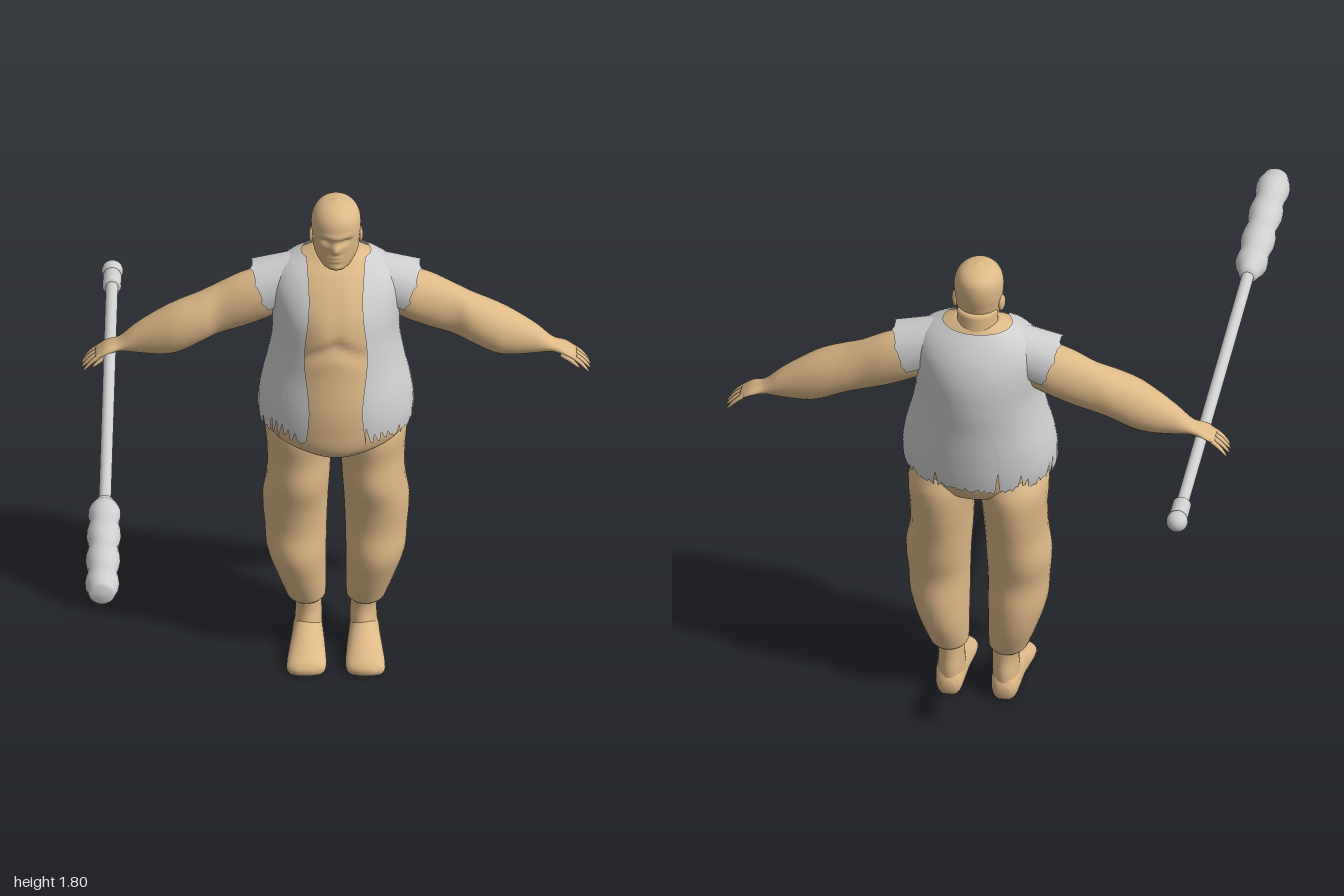
import * as THREE from 'three';

const skin = new THREE.MeshStandardMaterial({ color: 0xdeb887 });
skin.name = 'skin';
const grey = new THREE.MeshStandardMaterial({ color: 0xcfcfcf, side: THREE.DoubleSide });
grey.name = 'paleGrey';

// Smooth interpolation of profile rows [t, a0, a1, b0, b1] at t
function rowAt(rows, t) {
  let i = 0;
  while (i < rows.length - 2 && t > rows[i + 1][0]) i++;
  const slope = (k, c) => {
    const p = rows[Math.max(k - 1, 0)], q = rows[Math.min(k + 1, rows.length - 1)];
    return (q[c] - p[c]) / (q[0] - p[0]);
  };
  const r0 = rows[i], r1 = rows[i + 1], h = r1[0] - r0[0], u = (t - r0[0]) / h;
  const u2 = u * u, u3 = u2 * u;
  return r0.map((v, c) => c === 0 ? t :
    (2 * u3 - 3 * u2 + 1) * v + (3 * u2 - 2 * u3) * r1[c] +
    h * ((u3 - 2 * u2 + u) * slope(i, c) + (u3 - u2) * slope(i + 1, c)));
}

// Surface from a grid of points; closed grids wrap round and get end caps
function gridGeometry(rings, closed) {
  const n = rings[0].length, pos = rings.flat().flatMap(p => p.toArray()), idx = [];
  for (let i = 0; i < rings.length - 1; i++) {
    for (let j = 0; j < (closed ? n : n - 1); j++) {
      const a = i * n + j, b = i * n + (j + 1) % n;
      idx.push(a, b, a + n, b, b + n, a + n);
    }
  }
  if (closed) {
    [0, rings.length - 1].forEach(k => {
      const c = rings[k].reduce((s, p) => s.add(p), new THREE.Vector3()).divideScalar(n);
      const m = pos.length / 3;
      pos.push(c.x, c.y, c.z);
      for (let j = 0; j < n; j++) {
        const a = k * n + j, b = k * n + (j + 1) % n;
        if (k === 0) idx.push(m, b, a); else idx.push(m, a, b);
      }
    });
    // Turn the faces outward
    let volume = 0;
    const V = i => new THREE.Vector3().fromArray(pos, i * 3);
    for (let i = 0; i < idx.length; i += 3) volume += V(idx[i]).dot(V(idx[i + 1]).cross(V(idx[i + 2])));
    if (volume < 0) idx.reverse();
  }
  const g = new THREE.BufferGeometry();
  g.setAttribute('position', new THREE.Float32BufferAttribute(pos, 3));
  g.setIndex(idx);
  g.computeVertexNormals();
  return g;
}

// Oval cross-sections along one axis, with an optional sculpting rule
const alongY = (t, a, b) => new THREE.Vector3(a, t, b);
const alongX = (t, a, b) => new THREE.Vector3(t, a, b);
const alongZ = (t, a, b) => new THREE.Vector3(a, b, t);
function loft(name, rows, map, sculpt, n = 32, steps = 4) {
  const rings = [];
  const total = (rows.length - 1) * steps;
  for (let k = 0; k <= total; k++) {
    const i = Math.min(Math.floor(k / steps), rows.length - 2), f = k / steps - i;
    const [t, a0, a1, b0, b1] = rowAt(rows, rows[i][0] + (rows[i + 1][0] - rows[i][0]) * f);
    rings.push(Array.from({ length: n }, (_, j) => {
      const w = j / n * Math.PI * 2;
      const p = map(t, (a0 + a1) / 2 + (a1 - a0) / 2 * Math.cos(w), (b0 + b1) / 2 + (b1 - b0) / 2 * Math.sin(w));
      if (sculpt) sculpt(p);
      return p;
    }));
  }
  return mesh(name, gridGeometry(rings, true), skin);
}

function mesh(name, geometry, material) {
  const m = new THREE.Mesh(geometry, material);
  m.name = name;
  return m;
}

const bump = (d, w) => Math.exp(-(d * d) / (w * w));

// Torso rows: height, half widths, back, front
const torsoRows = [
  [0.87, 0.08, -0.5, -0.28], [0.885, 0.15, -0.58, -0.25], [0.92, 0.225, -0.615, -0.228],
  [0.98, 0.252, -0.63, -0.222], [1.08, 0.245, -0.64, -0.225], [1.2, 0.217, -0.645, -0.245],
  [1.3, 0.203, -0.652, -0.258], [1.4, 0.208, -0.648, -0.28], [1.48, 0.21, -0.625, -0.325],
  [1.54, 0.175, -0.59, -0.375], [1.57, 0.12, -0.565, -0.41], [1.59, 0.075, -0.55, -0.425],
].map(([y, w, back, front]) => [y, -w, w, back, front]);

function sculptTorso(p) {
  if (p.z < -0.4) return;
  // Fold under the chest, and a shallow line between its halves
  p.z -= 0.016 * bump(p.y - (1.32 - 0.5 * Math.abs(p.x)), 0.025) * bump(p.x, 0.14);
  p.z -= 0.006 * bump(p.x, 0.02) * bump(p.y - 1.4, 0.08);
}

function makeVest() {
  const vest = new THREE.Group();
  vest.name = 'vest';
  let seed = 7;
  const rand = () => (seed = (seed * 16807) % 2147483647) / 2147483647;
  // Ragged hem: every third column may be a slit
  const cols = 156, hem = [];
  for (let j = 0; j <= cols; j++) {
    const s = j / cols, side = bump(Math.min(Math.abs(s - 0.2), Math.abs(s - 0.8)), 0.012);
    const slit = j % 3 === 1 ? 0.09 * Math.pow(rand(), 2.5) : 0.02 * rand();
    hem.push(0.95 + slit + 0.1 * side);
  }
  const rings = [];
  for (let i = 0; i <= 30; i++) {
    rings.push(hem.map((low, j) => {
      const y = low + (1.577 - low) * i / 30;
      const [, , w, back, front] = rowAt(torsoRows, y);
      const rx = w + 0.013, rz = (front - back) / 2 + 0.013;
      const open = Math.asin(Math.min(0.9, (0.098 + 0.008 * Math.sin(y * 16)) / rx));
      const a = open + (Math.PI * 2 - 2 * open) * j / cols;
      return new THREE.Vector3(rx * Math.sin(a), y, (front + back) / 2 + rz * Math.cos(a));
    }));
  }
  vest.add(mesh('vestBody', gridGeometry(rings, false), grey));
  // Flared cap over each shoulder, open underneath
  for (const s of [1, -1]) {
    const cap = [];
    for (let i = 0; i <= 6; i++) {
      const u = i / 6;
      cap.push(Array.from({ length: 25 }, (_, j) => {
        const a = (j / 24 * 2 - 1) * 1.95;
        const x = 0.095 + u * (0.19 - 0.038 * (1 - Math.cos(a)) + (j % 4 === 2 ? 0.008 : 0));
        return new THREE.Vector3(s * x, 1.475 - 0.05 * u + (0.1 + 0.002 * u) * Math.cos(a), -0.485 + (0.085 + 0.008 * u) * Math.sin(a));
      }));
    }
    if (s > 0) cap.forEach(r => r.reverse());
    vest.add(mesh('shoulderCap', gridGeometry(cap, false), grey));
  }
  return vest;
}

function makeHead() {
  const head = new THREE.Group();
  head.name = 'head';
  head.add(loft('neck', [[1.5, -0.085, 0.085, -0.57, -0.42], [1.57, -0.072, 0.072, -0.56, -0.42], [1.64, -0.068, 0.068, -0.55, -0.43]], alongY));
  const rows = [
    [1.562, 0.022, -0.44, -0.39], [1.568, 0.042, -0.48, -0.376], [1.585, 0.06, -0.52, -0.368],
    [1.62, 0.076, -0.535, -0.368], [1.66, 0.08, -0.546, -0.366], [1.7, 0.084, -0.555, -0.363],
    [1.74, 0.082, -0.556, -0.366], [1.77, 0.068, -0.545, -0.382], [1.79, 0.042, -0.515, -0.412],
    [1.8, 0.004, -0.465, -0.455],
  ].map(([y, w, back, front]) => [y, -w, w, back, front]);
  head.add(loft('skull', rows, alongY, p => {
    if (p.z < -0.43) return;
    const ax = Math.abs(p.x);
    p.z += 0.02 * bump(p.x, 0.014) * bump(p.y - 1.657, 0.018); // nose
    p.z += 0.006 * bump(p.y - 1.706, 0.01) * bump(p.x, 0.06); // brow
    p.z -= 0.014 * bump(ax - 0.034, 0.018) * bump(p.y - 1.683, 0.012); // eye sockets
    p.z += 0.006 * bump(p.x, 0.025) * (bump(p.y - 1.622, 0.006) + bump(p.y - 1.608, 0.006)); // lips
    p.z += 0.005 * bump(p.x, 0.03) * bump(p.y - 1.58, 0.012); // chin
  }, 56, 7));
  for (const s of [1, -1]) {
    const ear = mesh('ear', new THREE.SphereGeometry(1, 14, 10), skin);
    ear.scale.set(0.01, 0.032, 0.02);
    ear.position.set(s * 0.081, 1.652, -0.475);
    ear.rotation.y = s * 0.3;
    head.add(ear);
  }
  return head;
}

// Arm, hand, leg and foot of the left side; the right side is mirrored
function makeLimbs(side) {
  const limbs = new THREE.Group();
  limbs.name = side + 'Limbs';
  const arm = [
    [0.14, 1.44, 0.08, -0.49, 0.07], [0.24, 1.405, 0.095, -0.487, 0.08], [0.32, 1.375, 0.101, -0.487, 0.075],
    [0.4, 1.34, 0.095, -0.485, 0.066], [0.46, 1.312, 0.092, -0.475, 0.076], [0.54, 1.275, 0.094, -0.47, 0.077],
    [0.6, 1.252, 0.082, -0.472, 0.066], [0.68, 1.224, 0.052, -0.475, 0.045], [0.735, 1.2, 0.023, -0.475, 0.034],
    [0.78, 1.185, 0.017, -0.473, 0.043], [0.815, 1.163, 0.011, -0.472, 0.04],
  ].map(([x, y, ry, z, rz]) => [x, y - ry, y + ry, z - rz, z + rz]);
  limbs.add(loft('arm', arm, alongX));
  // Fingers, then thumb
  for (let i = 0; i < 5; i++) {
    const z = -0.504 + i * 0.021, thumb = i === 4;
    const [x0, x1, z0, z1] = thumb ? [0.762, 0.828, -0.44, -0.418] : [0.8, 0.868 - 0.006 * Math.abs(i - 1.5), z, z - 0.004 + i * 0.003];
    const rows = [[0, 1], [0.5, 0.95], [0.85, 0.7], [1, 0.15]].map(([u, k]) => {
      const y = (thumb ? 1.18 : 1.172) - (thumb ? 0.04 : 0.06) * u * (0.6 + 0.4 * u), zc = z0 + (z1 - z0) * u;
      return [x0 + (x1 - x0) * u, y - 0.0095 * k, y + 0.0095 * k, zc - 0.0095 * k, zc + 0.0095 * k];
    });
    limbs.add(loft(thumb ? 'thumb' : 'finger', rows, alongX, null, 10, 3));
  }
  limbs.add(loft('leg', [
    [0.19, 0.042, 0.16, -0.525, -0.392], [0.2, 0.035, 0.168, -0.532, -0.385], [0.3, 0.033, 0.205, -0.568, -0.348],
    [0.4, 0.032, 0.235, -0.576, -0.322], [0.5, 0.03, 0.243, -0.567, -0.335], [0.6, 0.026, 0.25, -0.588, -0.325],
    [0.7, 0.02, 0.236, -0.602, -0.302], [0.8, 0.014, 0.235, -0.62, -0.308], [0.9, 0.002, 0.24, -0.625, -0.3],
    [0.97, 0.0, 0.22, -0.6, -0.32],
  ], alongY));
  limbs.add(loft('ankle', [
    [0.04, 0.045, 0.145, -0.53, -0.36], [0.1, 0.047, 0.14, -0.53, -0.385], [0.15, 0.048, 0.138, -0.522, -0.402],
    [0.22, 0.048, 0.15, -0.52, -0.4],
  ], alongY));
  // Foot with a flat sole
  limbs.add(loft('foot', [
    [-0.537, 0.075, 0.115, 0.02, 0.06], [-0.52, 0.055, 0.135, -0.01, 0.09], [-0.48, 0.046, 0.145, -0.02, 0.115],
    [-0.4, 0.04, 0.152, -0.02, 0.118], [-0.34, 0.035, 0.16, -0.02, 0.09], [-0.28, 0.032, 0.167, -0.02, 0.065],
    [-0.245, 0.042, 0.162, -0.015, 0.05], [-0.228, 0.08, 0.13, 0.01, 0.03],
  ], alongZ, p => { p.y = Math.max(p.y, 0); }));
  if (side === 'right') limbs.scale.x = -1;
  return limbs;
}

// Long pole with a lumpy head in front and a ball at the rear
function makeClub() {
  const club = new THREE.Group();
  club.name = 'club';
  const lathe = (name, pts) => club.add(mesh(name, new THREE.LatheGeometry(pts.map(p => new THREE.Vector2(...p)), 24).rotateX(Math.PI / 2), grey));
  lathe('pole', [[0.021, -0.9], [0.021, 0.46]]);
  const head = [[0, 0.425], [0.024, 0.426]];
  for (let i = 0; i <= 28; i++) {
    const u = i / 28;
    head.push([0.055 + 0.004 * Math.cos(u * 23 - 2) - 0.02 * bump(u, 0.08) - 0.008 * bump(u - 1, 0.06), 0.44 + 0.545 * u]);
  }
  lathe('clubHead', [...head, [0.036, 0.997], [0, 1]]);
  lathe('collar', [[0, -0.95], [0.026, -0.95], [0.032, -0.93], [0.032, -0.868], [0.02, -0.866]]);
  const ball = mesh('ball', new THREE.SphereGeometry(0.037, 20, 14), grey);
  ball.position.z = -0.963;
  club.add(ball);
  club.position.set(-0.775, 1.166, 0);
  club.rotation.y = -0.0165;
  return club;
}

export function createModel() {
  const model = new THREE.Group();
  model.name = 'barefootFigure';
  model.add(loft('torso', torsoRows, alongY, sculptTorso, 64, 6));
  model.add(makeHead(), makeVest(), makeLimbs('left'), makeLimbs('right'), makeClub());
  return model;
}
